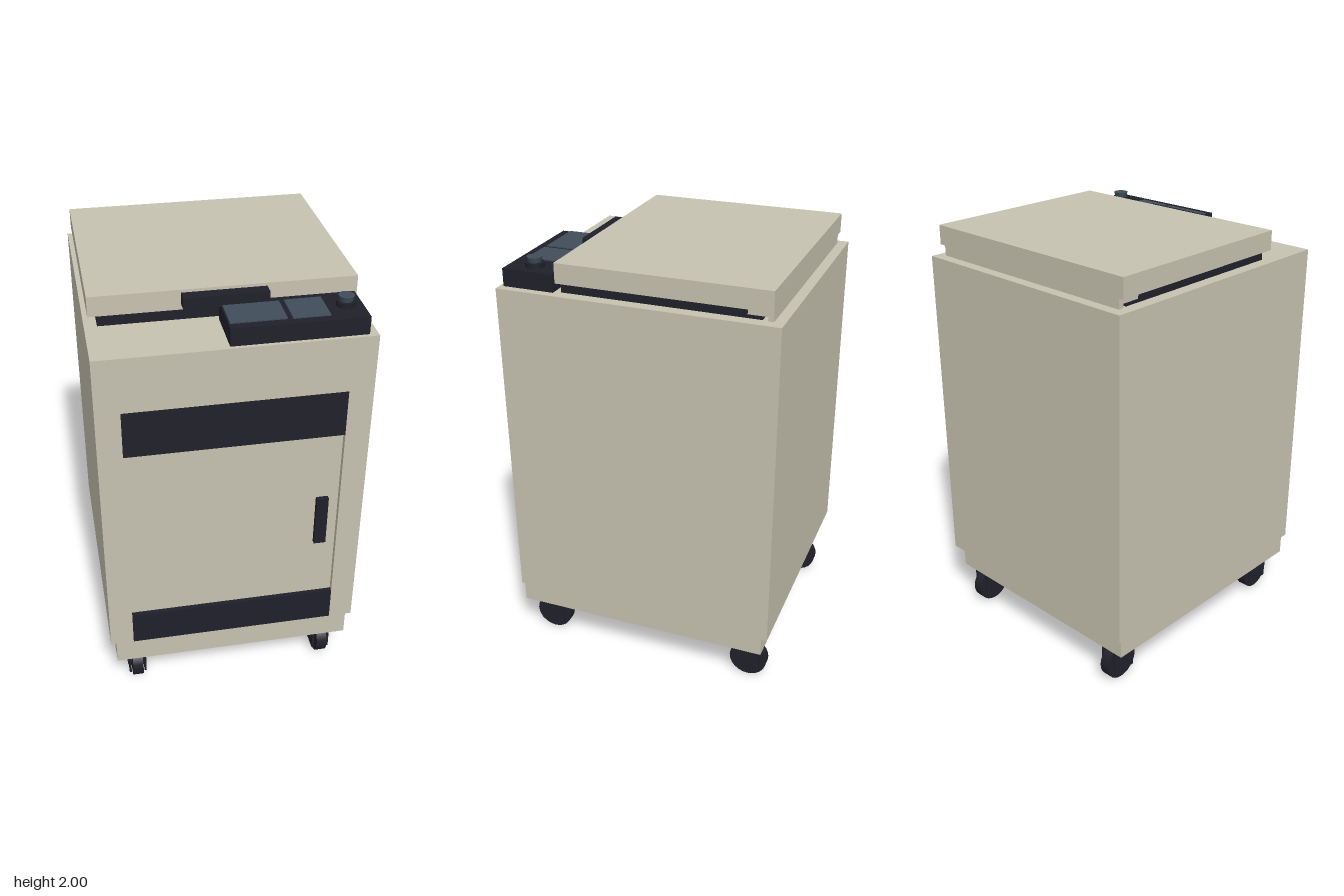
import * as THREE from 'three';

export function createModel() {
  const model = new THREE.Group();
  model.name = 'officeCopier';
  const mat = (name, color) => {
    const m = new THREE.MeshStandardMaterial({ color });
    m.name = name;
    return m;
  };
  const beige = mat('beige casing', 0xc7c2b0);
  const dark = mat('dark plastic', 0x20202b);
  const screen = mat('blue grey display', 0x404e5a);

  const add = (name, geometry, material, parent = model) => {
    const mesh = new THREE.Mesh(geometry, material);
    mesh.name = name;
    parent.add(mesh);
    return mesh;
  };
  // box given by its extents on each axis
  const box = (name, material, [x0, x1], [y0, y1], [z0, z1], parent) => {
    const mesh = add(name, new THREE.BoxGeometry(x1 - x0, y1 - y0, z1 - z0), material, parent);
    mesh.position.set((x0 + x1) / 2, (y0 + y1) / 2, (z0 + z1) / 2);
    return mesh;
  };

  // Cabinet: core block plus a front surround open at the bottom
  const front = 0.635, recess = 0.61;
  box('cabinet', beige, [-0.59, 0.59], [0.312, 1.86], [-0.635, recess]);
  const surround = new THREE.Shape([
    [-0.59, 0.312], [-0.482, 0.312], [-0.482, 1.605], [0.48, 1.605],
    [0.48, 0.312], [0.59, 0.312], [0.59, 1.86], [-0.59, 1.86],
  ].map(([x, y]) => new THREE.Vector2(x, y)));
  const frame = add('frontSurround', new THREE.ExtrudeGeometry(surround,
    { depth: front - recess, bevelEnabled: false }), beige);
  frame.position.z = recess;
  box('basePlinth', beige, [-0.565, 0.562], [0.197, 0.312], [-0.6, front]);

  // Front panels, recessed door and its handle
  box('upperPanel', dark, [-0.482, 0.48], [1.385, 1.605], [recess, front]);
  box('lowerPanel', dark, [-0.482, 0.48], [0.312, 0.48], [recess, front]);
  box('door', beige, [-0.482, 0.475], [0.48, 1.385], [recess, recess + 0.004]);
  box('doorHandle', dark, [0.375, 0.43], [0.79, 1.045], [recess, front]);

  // Scanner bed, lid, lid handle and rear hinge
  box('scannerBed', dark, [-0.535, 0.535], [1.86, 1.91], [-0.54, 0.35]);
  box('lid', beige, [-0.573, 0.57], [1.91, 2], [-0.595, 0.36]);
  box('lidHandle', dark, [-0.184, 0.18], [1.935, 1.987], [0.36, 0.415]);
  box('hingeShelf', beige, [-0.545, 0.545], [1.88, 1.91], [-0.59, -0.48]);
  box('hingeLip', beige, [-0.545, 0.545], [1.862, 1.88], [-0.59, -0.565]);

  // Control panel with two displays and a dial
  box('controlPanel', dark, [-0.028, 0.552], [1.86, 1.94], [0.38, 0.617]);
  box('largeDisplay', screen, [-0.022, 0.215], [1.94, 1.945], [0.42, 0.577]);
  box('smallDisplay', screen, [0.237, 0.395], [1.94, 1.945], [0.415, 0.58]);
  const dial = new THREE.Group();
  dial.name = 'dial';
  dial.position.set(0.48, 0, 0.497);
  model.add(dial);
  add('dialBase', new THREE.CylinderGeometry(0.042, 0.042, 0.022, 24), dark, dial).position.y = 1.951;
  add('dialCap', new THREE.CylinderGeometry(0.034, 0.028, 0.024, 24), screen, dial).position.y = 1.974;

  // Four casters: wheel, axle and two fork plates each
  for (const x of [-0.464, 0.464]) {
    for (const z of [0.52, -0.517]) {
      const caster = new THREE.Group();
      caster.name = 'caster';
      caster.position.set(x, 0, z);
      model.add(caster);
      const wheel = add('wheel', new THREE.CylinderGeometry(0.09, 0.09, 0.05, 24), dark, caster);
      wheel.rotation.z = Math.PI / 2;
      wheel.position.y = 0.094;
      const axle = add('axle', new THREE.CylinderGeometry(0.035, 0.035, 0.09, 16), dark, caster);
      axle.rotation.z = Math.PI / 2;
      axle.position.y = 0.094;
      for (const s of [-1, 1]) {
        const plate = box('forkPlate', dark, [-0.005, 0.005], [0.05, 0.198], [-0.062, 0.062], caster);
        plate.position.x = s * 0.037;
      }
    }
  }
  return model;
}
